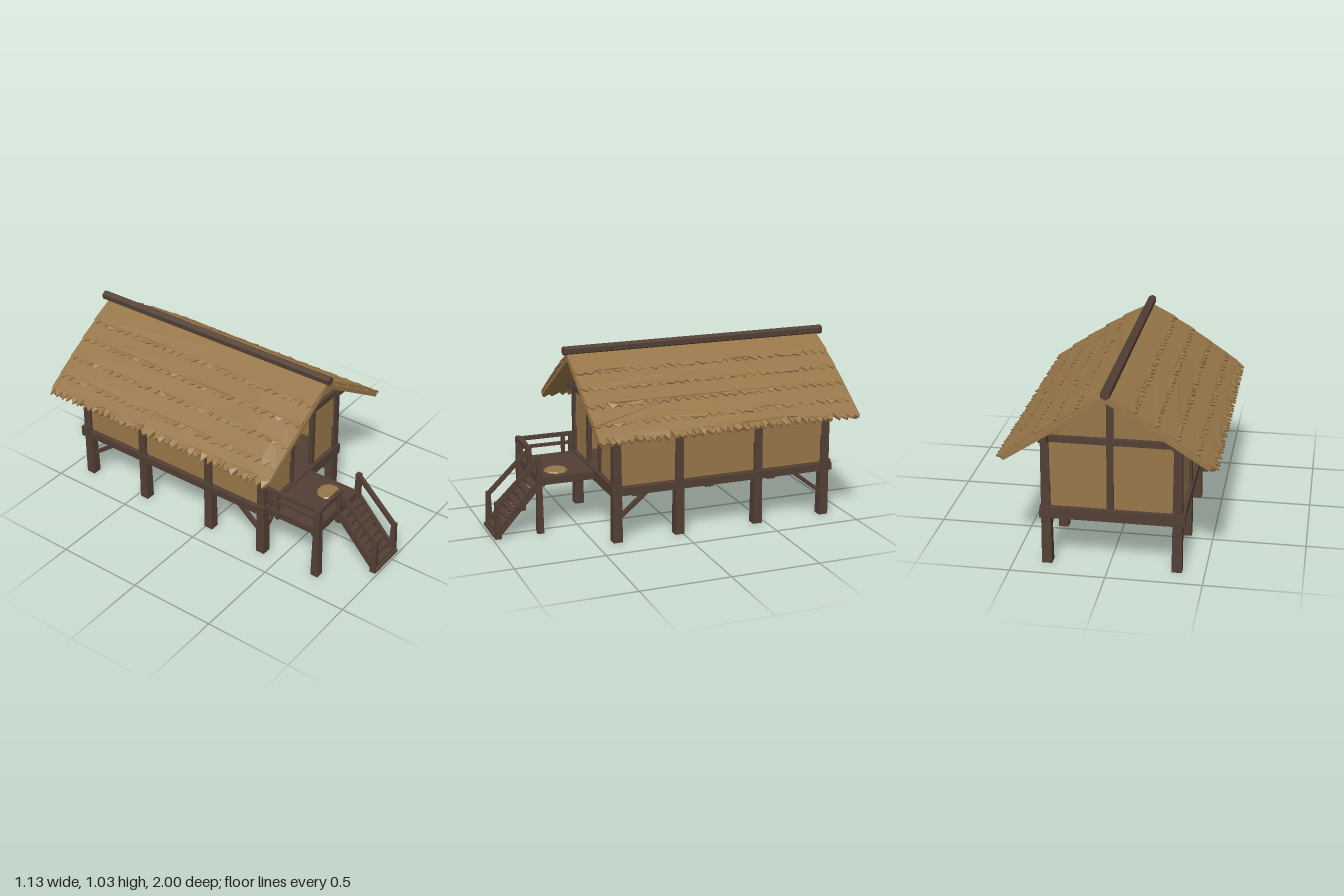
import * as THREE from 'three';

export function createModel() {
  const model = new THREE.Group();
  const mat = (name, color) => Object.assign(new THREE.MeshStandardMaterial({ color, flatShading: true }), { name });
  const wood = mat('dark wood', 0x523f34);
  const straw = mat('straw', 0x967548);

  let seed = 7;
  const rnd = () => (seed = (seed * 16807) % 2147483647) / 2147483647;

  const add = (name, geo, material, parent = model) => {
    const m = new THREE.Mesh(geo, material);
    m.name = name;
    parent.add(m);
    return m;
  };
  const box = (name, material, x0, x1, y0, y1, z0, z1) => {
    const m = add(name, new THREE.BoxGeometry(x1 - x0, y1 - y0, z1 - z0), material);
    m.position.set((x0 + x1) / 2, (y0 + y1) / 2, (z0 + z1) / 2);
    return m;
  };
  // Square post, slightly wider at the foot
  const post = (name, x, z, y0, y1, w, foot = w) => {
    const g = new THREE.CylinderGeometry(w * Math.SQRT1_2, foot * Math.SQRT1_2, y1 - y0, 4).rotateY(Math.PI / 4);
    add(name, g, wood).position.set(x, (y0 + y1) / 2, z);
  };
  // Beam from point a to point b
  const beam = (name, a, b, w, h = w) => {
    const p = new THREE.Vector3(...a), q = new THREE.Vector3(...b);
    const m = add(name, new THREE.BoxGeometry(w, h, p.distanceTo(q)), wood);
    m.position.copy(p).add(q).multiplyScalar(0.5);
    m.lookAt(q);
  };

  const L = -0.355, R = 0.325, MID = -0.01;
  const bays = [0.38, 0.02, -0.45, -0.865];
  const FRONT = bays[0], BACK = bays[3];

  // Main posts, floor beams, wall plates and braces on both sides
  for (const x of [L, R]) {
    for (const z of bays) post('mainPost', x, z, 0, 0.72, 0.042, 0.054);
    const out = Math.sign(x) * 0.01;
    beam('sideFloorBeam', [x + out, 0.287, 0.41], [x + out, 0.287, -0.905], 0.045, 0.042);
    beam('wallPlate', [x, 0.715, 0.43], [x, 0.715, -0.93], 0.045, 0.04);
    beam('frontBrace', [x, 0.13, 0.37], [x, 0.28, 0.19], 0.022);
    beam('backBrace', [x, 0.13, -0.855], [x, 0.28, -0.66], 0.022);
  }
  beam('crossBrace', [L + 0.015, 0.14, FRONT], [-0.17, 0.275, FRONT], 0.024);
  for (const z of bays) beam('floorCrossBeam', [-0.385, 0.285, z], [0.355, 0.285, z], 0.04);
  for (const z of [FRONT + 0.01, BACK - 0.01]) {
    beam('endFloorBeam', [-0.395, 0.297, z], [0.355, 0.297, z], 0.05, 0.062);
    beam('tieBeam', [-0.375, 0.705, z], [0.345, 0.705, z], 0.035, 0.033);
  }
  box('floorTop', wood, L, R, 0.308, 0.318, BACK, FRONT);
  box('floorUnderside', straw, L, R, 0.3, 0.308, BACK, FRONT);

  // Woven wall panels: two overlapping rows with a small tilt
  const panel = (x0, x1, z0, z1, axis, sign) => {
    for (const [y0, y1, off] of [[0.315, 0.49, 0], [0.475, 0.71, 0.004]]) {
      const m = box('wallPanel', straw, x0, x1, y0, y1, z0, z1);
      m.position[axis] += sign * off;
      m.rotation[axis === 'x' ? 'z' : 'x'] = sign * (axis === 'x' ? 0.03 : -0.03);
    }
  };
  for (let i = 0; i < 3; i++) {
    panel(L - 0.007, L + 0.007, bays[i + 1], bays[i], 'x', -1);
    panel(R - 0.007, R + 0.007, bays[i + 1], bays[i], 'x', 1);
  }
  panel(L, MID, BACK - 0.007, BACK + 0.007, 'z', -1);
  panel(MID, R, BACK - 0.007, BACK + 0.007, 'z', -1);
  panel(L, -0.105, FRONT - 0.007, FRONT + 0.007, 'z', 1);
  panel(0.095, R, FRONT - 0.007, FRONT + 0.007, 'z', 1);

  // Door frame and centre posts
  for (const x of [-0.105, 0.095]) post('doorPost', x, FRONT + 0.008, 0.32, 0.7, 0.026);
  beam('doorLintel', [-0.11, 0.678, FRONT + 0.008], [0.1, 0.678, FRONT + 0.008], 0.026, 0.022);
  post('frontKingPost', MID, FRONT + 0.008, 0.71, 0.955, 0.033);
  post('backKingPost', MID, BACK, 0.3, 0.955, 0.036);

  // Gable walls and rafters
  const tri = new THREE.Shape([[L, 0.7], [R, 0.7], [MID, 0.945]].map(p => new THREE.Vector2(...p)));
  for (const z of [FRONT, BACK]) {
    add('gableWall', new THREE.ExtrudeGeometry(tri, { depth: 0.012, bevelEnabled: false }), straw).position.z = z - 0.006;
    for (const x of [L, R]) beam('rafter', [x, 0.715, z], [MID, 0.94, z], 0.03, 0.02);
  }

  // Thatch: a slab and overlapping ragged courses on each slope
  const LEN = 0.668, Z0 = -0.97, Z1 = 0.54, SPAN = Z1 - Z0;
  const thatchGeo = (d0, d1, n, tooth, thick, lift, base) => {
    const pts = [];
    for (let i = 0; i <= 14; i++) pts.push(new THREE.Vector2((i / 14 - 0.5) * SPAN, -d0));
    for (let i = n; i >= 0; i--) {
      const inner = i > 0 && i < n;
      const x = (i / n - 0.5 + (inner ? (rnd() - 0.5) * 0.6 / n : 0)) * SPAN;
      pts.push(new THREE.Vector2(x, -d1 + (i % 2 ? 0 : tooth * (0.3 + 0.7 * rnd()))));
    }
    const g = new THREE.ExtrudeGeometry(new THREE.Shape(pts), { depth: thick, bevelEnabled: false });
    const p = g.attributes.position;
    for (let i = 0; i < p.count; i++) {
      const x = p.getX(i), d = -p.getY(i);
      const noise = 0.004 * Math.sin(x * 91 + d * 57) + 0.003 * Math.sin(x * 223);
      const down = (d - d0) / (d1 - d0);
      p.setZ(i, p.getZ(i) + base + lift * down + noise * down + 0.012 * Math.sin(Math.PI * Math.min(d / LEN, 1)));
    }
    g.computeVertexNormals();
    return g;
  };
  const angle = Math.atan2(0.365, 0.56), c = Math.cos(angle), s = Math.sin(angle);
  for (const side of [1, -1]) {
    const slope = new THREE.Group();
    slope.name = side > 0 ? 'leftRoofSlope' : 'rightRoofSlope';
    slope.applyMatrix4(new THREE.Matrix4().makeBasis(
      new THREE.Vector3(0, 0, -side), new THREE.Vector3(-side * c, s, 0), new THREE.Vector3(side * s, c, 0)
    ).setPosition(-0.005, 0.985, 0));
    slope.position.z = (Z0 + Z1) / 2;
    add('thatchSlab', thatchGeo(0, LEN - 0.012, 60, 0.05, 0.02, 0.006, -0.032), straw, slope);
    for (let i = 0; i < 5; i++) {
      const last = i === 4;
      const d0 = i * 0.125, d1 = last ? LEN : d0 + 0.18;
      add('thatchCourse', thatchGeo(d0, d1, last ? 76 : 56, last ? 0.06 : 0.035, 0.01, 0.009, -0.012), straw, slope);
    }
    model.add(slope);
  }
  // Ridge pole
  const ridge = add('ridgePole', new THREE.CylinderGeometry(0.025, 0.027, 1.56, 6).rotateX(Math.PI / 2), wood);
  ridge.position.set(MID, 1.0, -0.22);

  // Porch deck with posts and railing
  box('porchDeck', wood, -0.36, 0.055, 0.302, 0.318, 0.38, 0.725);
  box('porchUnderside', straw, -0.35, 0.045, 0.296, 0.302, 0.4, 0.715);
  const PX = -0.345, SX = [-0.14, 0.05], PZ = 0.73;
  post('porchCornerPost', PX, PZ, 0, 0.44, 0.034, 0.045);
  post('porchStairPost', SX[1], PZ, 0, 0.44, 0.026, 0.036);
  post('porchStairPost', SX[0], PZ, 0.23, 0.44, 0.026);
  beam('porchFrontBeam', [-0.365, 0.292, PZ - 0.015], [0.06, 0.292, PZ - 0.015], 0.03, 0.045);
  for (const x of [PX, 0.04]) beam('porchSideBeam', [x, 0.292, 0.39], [x, 0.292, 0.73], 0.025, 0.035);
  beam('frontRail', [-0.365, 0.43, PZ], [SX[0], 0.43, PZ], 0.024, 0.026);
  for (const y of [0.43, 0.378]) beam('sideRail', [PX, y, 0.4], [PX, y, PZ], 0.02, y > 0.4 ? 0.022 : 0.016);
  for (const z of [0.47, 0.425]) post('railPost', PX, z, 0.26, 0.435, 0.02);

  // Straw mat lying on the deck
  const mat6 = add('strawMat', new THREE.CylinderGeometry(0.06, 0.068, 0.008, 9), straw);
  mat6.position.set(-0.05, 0.322, 0.605);

  // Stairs: stringers, handrails and treads
  for (const x of SX) {
    beam('stringer', [x, 0.29, 0.73], [x, 0.02, 0.975], 0.02, 0.04);
    beam('handrail', [x, 0.432, 0.725], [x, 0.2, 0.965], 0.022);
    post('newelPost', x, 0.97, 0, 0.21, 0.024, 0.036);
  }
  for (let i = 0; i < 8; i++) {
    const y = 0.035 + i * 0.033, z = 0.962 - i * 0.03;
    box('stairTread', wood, SX[0], SX[1], y - 0.008, y + 0.008, z - 0.02, z + 0.02);
  }
  box('stairFoot', wood, SX[0] - 0.01, SX[1] + 0.01, 0.015, 0.03, 0.965, 0.998);
  return model;
}
